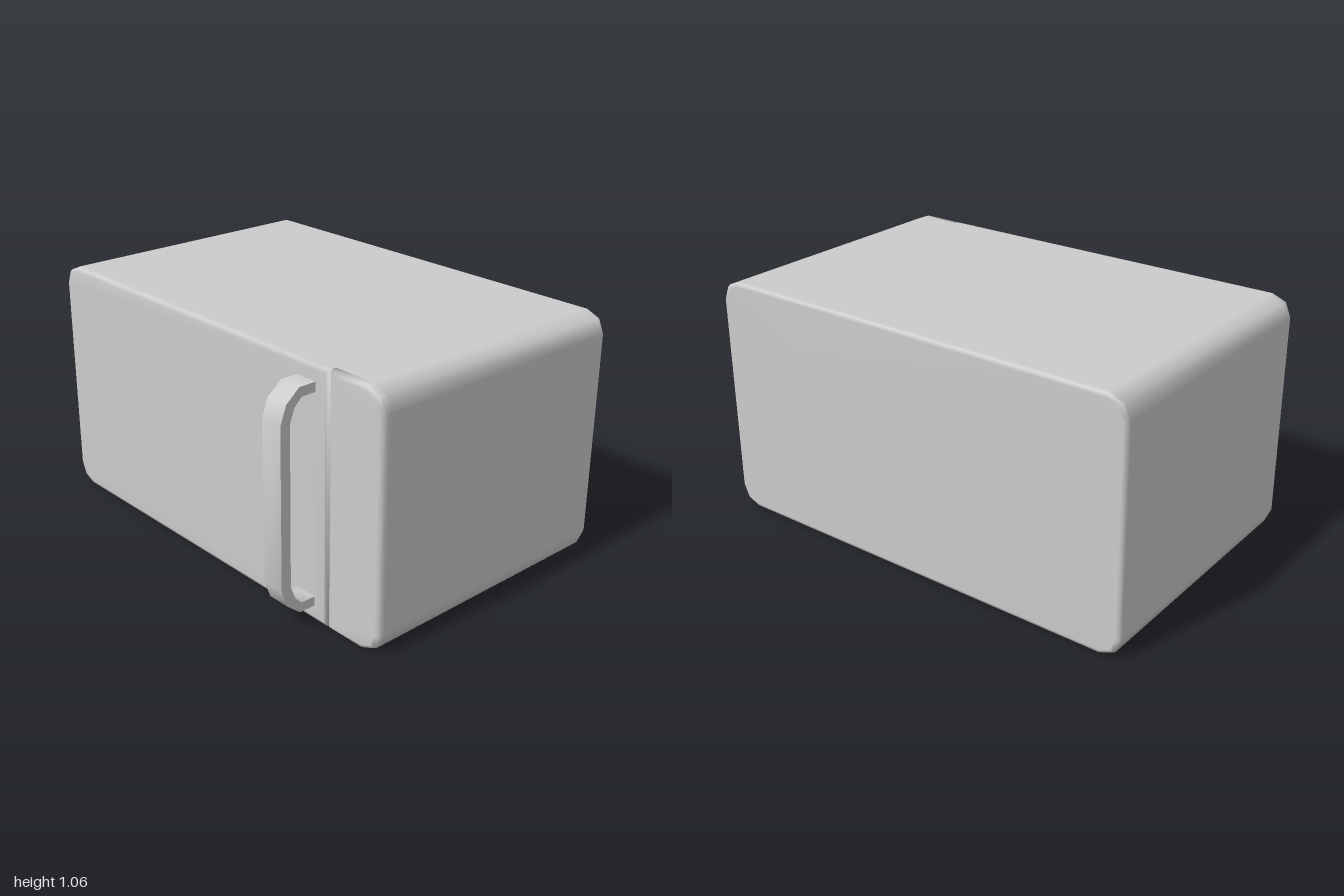
import * as THREE from 'three';
import { toCreasedNormals } from 'three/addons/utils/BufferGeometryUtils.js';

const HEIGHT = 1.06, CORNER = 0.09, BACK = -0.7, FRONT = 0.535, SPLIT = 0.725;

// Rounded rectangle, anticlockwise from the lower left; a corner radius of 0 stays square
function outline(x0, x1, rLeft, rRight, inset) {
  const l = x0 + inset, r = x1 - inset, b = inset, t = HEIGHT - inset;
  const corners = [[l, b, 1, 1, rLeft, 2], [r, b, -1, 1, rRight, 3], [r, t, -1, -1, rRight, 0], [l, t, 1, -1, rLeft, 1]];
  const points = [];
  for (const [x, y, sx, sy, radius, quarter] of corners) {
    if (!radius) { points.push([x, y]); continue; }
    const rad = Math.max(radius - inset, 0.005);
    for (let i = 0; i <= 2; i++) {
      const a = (quarter + i / 2) * Math.PI / 2;
      points.push([x + sx * rad + rad * Math.cos(a), y + sy * rad + rad * Math.sin(a)]);
    }
  }
  return points;
}

// Smooth skin through rings of [inset, z], with a fan cap at one end
function loft(x0, x1, rLeft, rRight, rings, capFront) {
  const loops = rings.map(([inset, z]) => outline(x0, x1, rLeft, rRight, inset).map(p => [...p, z]));
  const n = loops[0].length, index = [];
  const positions = loops.flat(2);
  for (let i = 0; i < loops.length - 1; i++) {
    for (let j = 0; j < n; j++) {
      const a = i * n + j, b = i * n + (j + 1) % n;
      index.push(a, b, b + n, a, b + n, a + n);
    }
  }
  const centre = loops.length * n, first = capFront ? centre - n : 0;
  positions.push((x0 + x1) / 2, HEIGHT / 2, capFront ? FRONT : BACK);
  for (let j = 0; j < n; j++) {
    const a = first + j, b = first + (j + 1) % n;
    if (capFront) index.push(centre, a, b);
    else index.push(centre, b, a);
  }
  const geometry = new THREE.BufferGeometry();
  geometry.setAttribute('position', new THREE.Float32BufferAttribute(positions, 3));
  geometry.setIndex(index);
  geometry.computeVertexNormals();
  return geometry;
}

// Bar handle: a bent strip drawn in z and y, mirrored about mid height
function handleGeometry() {
  const mid = 0.5325;
  const outer = [[0.52, 0.4625], [0.61, 0.4625], [0.672, 0.412], [0.7, 0.337]];
  const inner = [[0.655, 0.333], [0.633, 0.392], [0.6, 0.423], [0.52, 0.423]];
  const at = s => ([z, y]) => new THREE.Vector2(z, mid + s * y);
  const shape = new THREE.Shape([
    ...outer.map(at(-1)),
    ...[...outer].reverse().map(at(1)),
    ...[...inner].reverse().map(at(1)),
    ...inner.map(at(-1)),
  ]);
  const geometry = new THREE.ExtrudeGeometry(shape, { depth: 0.1, bevelEnabled: false });
  geometry.rotateY(-Math.PI / 2).translate(0.656, 0, 0);
  return toCreasedNormals(geometry, 0.9);
}

export function createModel() {
  const group = new THREE.Group();
  const material = new THREE.MeshStandardMaterial({ color: 0xcccccc });
  const add = (name, geometry) => {
    const mesh = new THREE.Mesh(geometry, material);
    mesh.name = name;
    group.add(mesh);
  };

  // Case, open where the two front panels meet it
  add('case', loft(-1, 1, CORNER, CORNER,
    [[0.02, BACK], [0.006, BACK + 0.006], [0, BACK + 0.02], [0, 0.5]], false));

  // Door and control panel; their bevels form the groove between them
  const rim = [[0, 0.5], [0, 0.515], [0.006, 0.529], [0.02, FRONT], [0.08, FRONT]];
  add('door', loft(-1, SPLIT, CORNER, 0, rim, true));
  add('controlPanel', loft(SPLIT, 1, 0, CORNER, rim, true));

  add('doorHandle', handleGeometry());
  return group;
}
